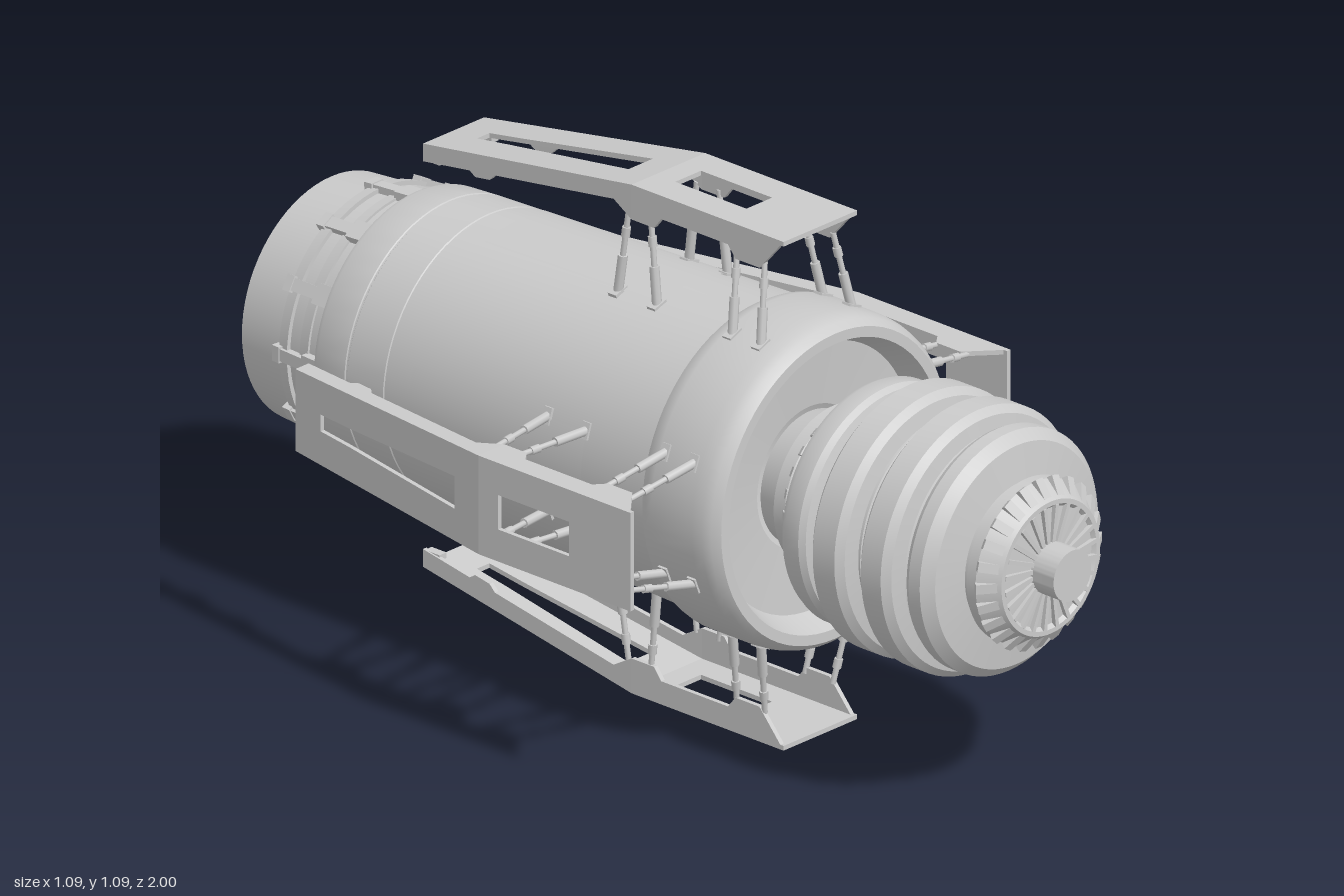
import * as THREE from 'three';
import { toCreasedNormals } from 'three/addons/utils/BufferGeometryUtils.js';

const mat = new THREE.MeshStandardMaterial({ color: 0xcccccc, side: THREE.DoubleSide });

function add(parent, name, geo) {
  const mesh = new THREE.Mesh(geo, mat);
  mesh.name = name;
  parent.add(mesh);
  return mesh;
}

// Solid of revolution about the z axis from [radius, z] points
function turned(points, segments = 64) {
  const geo = new THREE.LatheGeometry(points.map(p => new THREE.Vector2(...p)), segments);
  geo.rotateX(Math.PI / 2);
  return toCreasedNormals(geo, 0.45);
}

// Repeats a mesh around the z axis; the geometry is modelled pointing up +y
function ring(parent, name, geo, count, offset = 0) {
  for (let i = 0; i < count; i++) {
    add(parent, name, geo).rotation.z = ((i + offset) / count) * Math.PI * 2;
  }
}

function box(w, h, d, y, z, tilt = 0) {
  return new THREE.BoxGeometry(w, h, d).rotateX(tilt).translate(0, y, z);
}

function rod(parent, name, a, b, radius) {
  const mesh = add(parent, name, new THREE.CylinderGeometry(radius, radius, a.distanceTo(b), 8));
  mesh.position.copy(a).add(b).multiplyScalar(0.5);
  mesh.quaternion.setFromUnitVectors(new THREE.Vector3(0, 1, 0), b.clone().sub(a).normalize());
}

function shapeOf(points) {
  return new THREE.Shape(points.map(p => new THREE.Vector2(...p)));
}

// Thin curved plate lying on a cone-shaped surface, centred on +y
function curvedPlate(r0, r1, z0, z1, angle) {
  const geo = new THREE.CylinderGeometry(r1, r0, z1 - z0, 8, 1, true, Math.PI - angle / 2, angle);
  return geo.rotateX(Math.PI / 2).translate(0, 0, (z0 + z1) / 2);
}

const RAIL_TOP = 0.547, BEND = -0.09, SLOPE = 0.1586, SKIN = 0.01, HALF = 0.106, TAPER = 0.031;
const railTop = z => RAIL_TOP - SLOPE * Math.max(0, BEND - z);

// Outer skin of a rail from an outline in (x, z) with a window, sheared along the bend
function railSkin(outline, window) {
  const shape = shapeOf(outline);
  shape.holes.push(new THREE.Path(window.map(p => new THREE.Vector2(...p))));
  const geo = new THREE.ExtrudeGeometry(shape, { depth: SKIN, bevelEnabled: false });
  geo.rotateX(Math.PI / 2);
  const p = geo.attributes.position;
  for (let i = 0; i < p.count; i++) p.setY(i, p.getY(i) + railTop(p.getZ(i)));
  geo.computeVertexNormals();
  return geo;
}

// Side flange of a rail from an outline in (z, radius), following the taper
function railFlange(outline, side) {
  const geo = new THREE.ExtrudeGeometry(shapeOf(outline), { depth: SKIN, bevelEnabled: false });
  geo.rotateY(-Math.PI / 2).translate(side > 0 ? HALF : SKIN - HALF, 0, 0);
  const p = geo.attributes.position;
  for (let i = 0; i < p.count; i++) {
    p.setX(i, p.getX(i) - side * TAPER * Math.max(0, BEND - p.getZ(i)));
  }
  geo.computeVertexNormals();
  return geo;
}

function createRail() {
  const rail = new THREE.Group();
  rail.name = 'rail';
  const end = -0.67, endHalf = HALF - TAPER * (BEND - end);
  add(rail, 'railFrontSkin', railSkin(
    [[-HALF, BEND], [HALF, BEND], [HALF, 0.32], [-HALF, 0.32]],
    [[-0.037, -0.037], [0.037, -0.037], [0.037, 0.155], [-0.037, 0.155]]));
  add(rail, 'railRearSkin', railSkin(
    [[-endHalf, end], [endHalf, end], [HALF, BEND], [-HALF, BEND]],
    [[-0.018, -0.59], [0.018, -0.59], [0.02, -0.5], [0.035, -0.165], [-0.035, -0.165], [-0.02, -0.5]]));
  const under = (z, drop = 0.038) => [z, railTop(z) - drop];
  const front = [[0.32, RAIL_TOP], [0.255, 0.472], [0.19, 0.472], [0.17, 0.497], [-0.01, 0.497],
    [-0.03, 0.472], [BEND, 0.472], [BEND, RAIL_TOP]];
  const rear = [[BEND, RAIL_TOP], [BEND, 0.472], under(-0.14), under(-0.47), under(-0.485, 0.05),
    under(-0.525, 0.05), under(-0.54), under(end), [end, railTop(end)]];
  for (const side of [-1, 1]) {
    add(rail, 'railFrontFlange', railFlange(front, side));
    add(rail, 'railRearFlange', railFlange(rear, side));
    add(rail, 'railEndLip', new THREE.BoxGeometry(0.02, 0.012, 0.04)
      .translate(side * (endHalf - 0.013), railTop(end) - 0.03, end + 0.022));

    // Struts: splayed pair in front, upright pair behind; [rail z, hull z, foot x, foot radius]
    for (const [zTop, zFoot, xFoot, yFoot] of [
      [0.262, 0.282, 0.13, 0.322], [0.187, 0.205, 0.13, 0.322],
      [-0.045, -0.025, 0.102, 0.306], [-0.105, -0.13, 0.102, 0.304]]) {
      const top = new THREE.Vector3(side * 0.098, 0.485, zTop);
      const foot = new THREE.Vector3(side * xFoot, yFoot, zFoot);
      rod(rail, 'strut', foot, top, 0.006);
      rod(rail, 'strutSleeve', foot, foot.clone().lerp(top, 0.45), 0.01);
      rod(rail, 'strutCollar', foot.clone().lerp(top, 0.68), foot.clone().lerp(top, 0.8), 0.009);
      const pad = add(rail, 'strutFoot', new THREE.BoxGeometry(0.035, 0.012, 0.022));
      pad.position.copy(foot);
      pad.rotation.z = -Math.atan2(foot.x, foot.y);
    }
  }
  return rail;
}

export function createModel() {
  const model = new THREE.Group();
  model.name = 'engine';
  model.position.y = 0.55;

  // Hull: exhaust bowl, nozzle, tapered barrel, front collar and recess in one profile
  add(model, 'hull', turned([
    [0, -0.58], [0.1, -0.58], [0.115, -0.66], [0.14, -0.68], [0.155, -0.63], [0.185, -0.66],
    [0.235, -0.68], [0.25, -1], [0.257, -1], [0.274, -0.77], [0.294, -0.77], [0.298, -0.76],
    [0.302, -0.682], [0.3, -0.68], [0.3, -0.676], [0.302, -0.674],
    [0.305, -0.575], [0.303, -0.573], [0.303, -0.567], [0.306, -0.565],
    [0.329, 0.15], [0.334, 0.153], [0.345, 0.172], [0.349, 0.19], [0.349, 0.3], [0.347, 0.325],
    [0.341, 0.345], [0.328, 0.36], [0.306, 0.36], [0.282, 0.3], [0.15, 0.29]], 72));

  // Shallow panels on the barrel beneath each rail
  ring(model, 'hullPanel', curvedPlate(0.3115, 0.327, -0.5, -0.02, 0.62).rotateZ(0), 4);

  // Exhaust vanes and inner ring
  ring(model, 'exhaustVane', box(0.022, 0.075, 0.03, 0.192, -0.675), 24);
  add(model, 'exhaustRing', new THREE.TorusGeometry(0.128, 0.014, 8, 48)).position.z = -0.685;

  // Clips and split bands around the nozzle
  const lean = -0.07;
  ring(model, 'nozzleClip', box(0.026, 0.016, 0.125, 0.276, -0.835, lean), 12);
  ring(model, 'nozzleClipHead', box(0.044, 0.018, 0.04, 0.281, -0.79, lean), 12);
  ring(model, 'nozzleClipTail', box(0.034, 0.018, 0.02, 0.274, -0.885, lean), 12);
  for (const [z0, z1] of [[-0.885, -0.86], [-0.83, -0.805]]) {
    const band = turned([[0.26, z0], [0.273, z0], [0.277, z1], [0.26, z1]]);
    add(model, 'nozzleBand', band);
  }

  // Ribbed compressor with a vaned cone at each end
  add(model, 'compressor', turned([
    [0.14, 0.29], [0.15, 0.34], [0.172, 0.355], [0.172, 0.385], [0.145, 0.42], [0.145, 0.435],
    [0.22, 0.435], [0.25, 0.452], [0.256, 0.465], [0.256, 0.5], [0.248, 0.513], [0.225, 0.52],
    [0.225, 0.528], [0.24, 0.535], [0.225, 0.542], [0.265, 0.548], [0.28, 0.562], [0.28, 0.62],
    [0.265, 0.634], [0.232, 0.64], [0.232, 0.65], [0.244, 0.656], [0.232, 0.662], [0.232, 0.672],
    [0.265, 0.678], [0.28, 0.692], [0.28, 0.745], [0.265, 0.76], [0.225, 0.766], [0.24, 0.773],
    [0.225, 0.78], [0.25, 0.787], [0.256, 0.798], [0.256, 0.828], [0.235, 0.85], [0.16, 0.86],
    [0.16, 0.87], [0.172, 0.876], [0.172, 0.9], [0.142, 0.942], [0.132, 0.942], [0.125, 0.934],
    [0.054, 0.938], [0.054, 1], [0, 1]], 72));
  for (const shift of [0, -0.518]) {
    ring(model, 'coneVane', box(0.02, 0.014, 0.05, 0.157, 0.919 + shift, 0.95), 24);
  }
  ring(model, 'noseSpoke', box(0.009, 0.08, 0.014, 0.092, 0.937), 24, 0.5);

  // Four outrigger rails
  for (let i = 0; i < 4; i++) {
    const rail = createRail();
    rail.rotation.z = i * Math.PI / 2;
    model.add(rail);
  }

  const root = new THREE.Group();
  root.add(model);
  return root;
}
